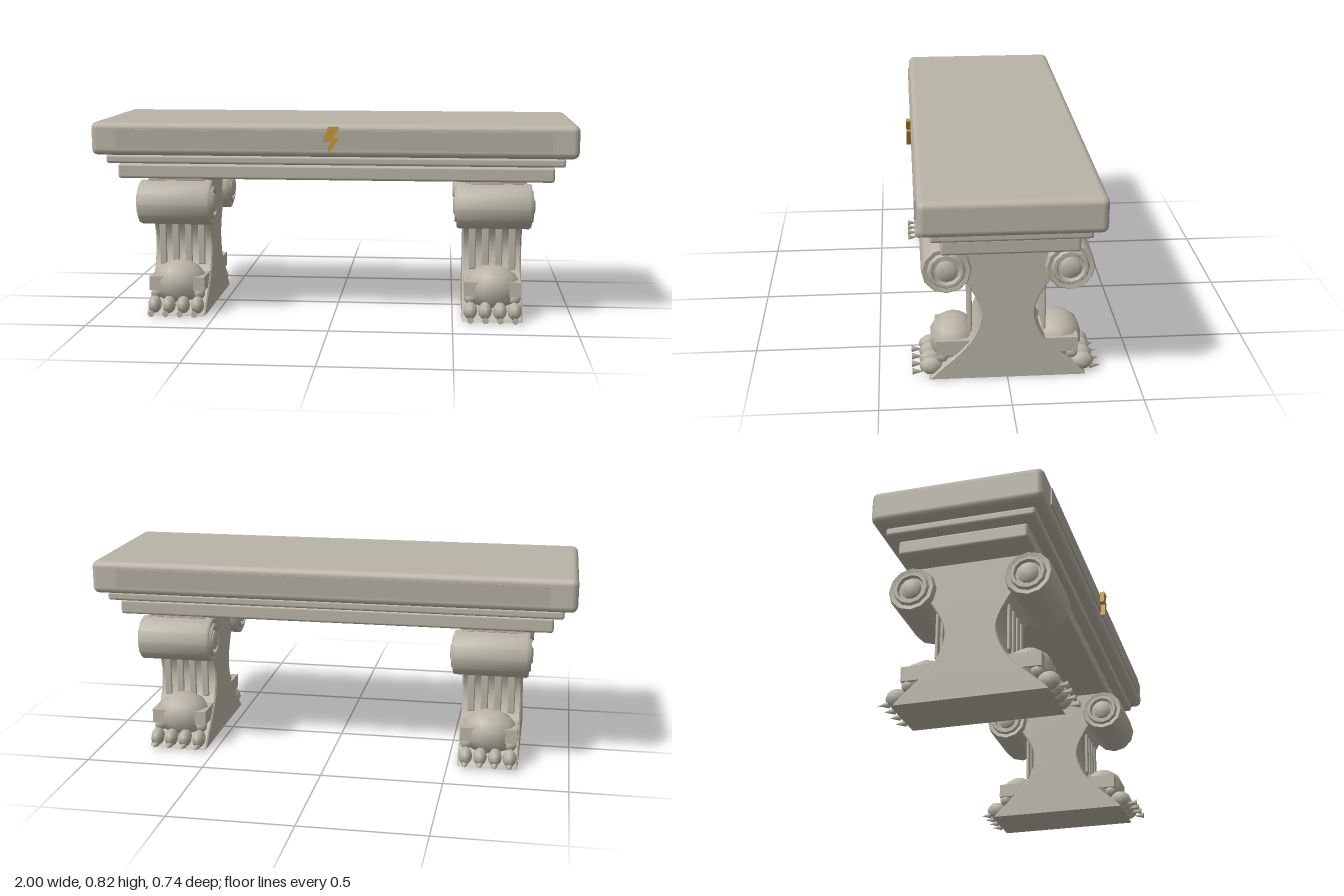
import * as THREE from 'three';
import { toCreasedNormals } from 'three/addons/utils/BufferGeometryUtils.js';
import { RoundedBoxGeometry } from 'three/addons/geometries/RoundedBoxGeometry.js';

const stone = new THREE.MeshStandardMaterial({ color: 0xb8b3a5 });
stone.name = 'stone';
const panelStone = new THREE.MeshStandardMaterial({ color: 0xb0aaa0 });
panelStone.name = 'panel stone';
const gold = new THREE.MeshStandardMaterial({ color: 0xc4943a });
gold.name = 'gold';

function add(parent, name, geometry, material, x = 0, y = 0, z = 0) {
  const mesh = new THREE.Mesh(geometry, material);
  mesh.name = name;
  mesh.position.set(x, y, z);
  parent.add(mesh);
  return mesh;
}

const v2 = (points) => points.map(([x, y]) => new THREE.Vector2(x, y));

// Pedestal: waisted side outline in z/y, extruded along x
function pedestalGeometry() {
  const side = new THREE.SplineCurve(v2([
    [0.3, 0.006], [0.245, 0.058], [0.19, 0.108], [0.13, 0.18], [0.1, 0.265],
    [0.108, 0.33], [0.145, 0.4], [0.19, 0.47], [0.24, 0.57],
  ])).getPoints(24);
  const mirrored = side.map((p) => new THREE.Vector2(-p.x, p.y)).reverse();
  const geometry = new THREE.ExtrudeGeometry(new THREE.Shape([...side, ...mirrored]), {
    depth: 0.238, bevelEnabled: true, bevelSize: 0.005, bevelThickness: 0.006, bevelSegments: 1,
  });
  geometry.translate(0, 0, -0.119);
  geometry.rotateY(-Math.PI / 2);
  return toCreasedNormals(geometry, 0.6);
}

// Scroll: one turned profile with a raised ring and a central boss at each end
function scrollGeometry() {
  const end = [
    [0, 0.168], [0.028, 0.168], [0.041, 0.16], [0.041, 0.148], [0.05, 0.148],
    [0.056, 0.161], [0.066, 0.161], [0.073, 0.15], [0.09, 0.153], [0.095, 0.145],
  ];
  const profile = [...end.map(([r, a]) => [r, -a]), ...end.slice().reverse()];
  const geometry = new THREE.LatheGeometry(v2(profile), 12);
  geometry.rotateZ(Math.PI / 2);
  return toCreasedNormals(geometry, 0.65);
}

const pedestal = pedestalGeometry();
const scroll = scrollGeometry();
const flute = new RoundedBoxGeometry(0.03, 0.195, 0.013, 1, 0.005);
const pawPad = new THREE.SphereGeometry(1, 10, 7).scale(0.12, 0.097, 0.098);
const pawBlock = new THREE.BoxGeometry(0.236, 0.06, 0.13);
const toe = new THREE.SphereGeometry(1, 8, 6).scale(0.029, 0.037, 0.046);
const knuckle = new THREE.SphereGeometry(0.026, 6, 5);
const claw = new THREE.ConeGeometry(0.014, 0.045, 8).rotateX(-Math.PI / 2);

// Everything on one face of a leg; s is +1 at the front and -1 at the back
function addLegFace(leg, s) {
  add(leg, 'scroll', scroll, stone, 0, 0.48, s * 0.234);
  add(leg, 'pawPad', pawPad, stone, 0, 0.13, s * 0.204);
  add(leg, 'pawBlock', pawBlock, stone, 0, 0.135, s * 0.21);
  for (let i = 0; i < 4; i++) {
    const k = i - 1.5;
    add(leg, 'flute', flute, stone, k * 0.056, 0.292, s * 0.143);
    add(leg, 'toe', toe, stone, k * 0.061, 0.05, s * 0.296);
    add(leg, 'knuckle', knuckle, stone, k * 0.061, 0.092, s * 0.253);
    add(leg, 'claw', claw, stone, k * 0.061, 0.026, s * 0.348);
  }
}

export function createModel() {
  const bench = new THREE.Group();
  bench.name = 'bench';

  // Seat slab with stepped mouldings beneath
  add(bench, 'seatSlab', new RoundedBoxGeometry(2, 0.138, 0.688, 2, 0.026), stone, 0, 0.757, -0.001);
  add(bench, 'upperMoulding', new RoundedBoxGeometry(1.9, 0.036, 0.596, 2, 0.011), stone, 0, 0.668, 0);
  add(bench, 'lowerMoulding', new RoundedBoxGeometry(1.82, 0.062, 0.516, 2, 0.011), stone, 0, 0.613, 0);
  add(bench, 'mouldingCore', new THREE.BoxGeometry(1.78, 0.07, 0.48), stone, 0, 0.66, 0);

  // Long raised panels
  const panel = new THREE.BoxGeometry(1.78, 0.076, 0.008);
  for (const s of [1, -1]) add(bench, 'edgePanel', panel, panelStone, 0, 0.758, s * 0.345);

  // Gilded zigzag ornament
  const zigzag = new THREE.Shape(v2([
    [-0.012, 0.815], [-0.034, 0.755], [-0.004, 0.755], [-0.017, 0.697],
    [0.034, 0.772], [0.008, 0.772], [0.034, 0.815],
  ]));
  add(bench, 'ornament', new THREE.ExtrudeGeometry(zigzag, { depth: 0.019, bevelEnabled: false }),
    gold, 0, 0, 0.348);

  // Two pedestal legs with scrolls and paws on both faces
  for (const s of [1, -1]) {
    const leg = new THREE.Group();
    leg.name = s > 0 ? 'leftLeg' : 'rightLeg';
    leg.position.x = s * 0.665;
    add(leg, 'pedestal', pedestal, stone);
    add(leg, 'capital', new THREE.BoxGeometry(0.24, 0.014, 0.48), stone, 0, 0.58, 0);
    addLegFace(leg, 1);
    addLegFace(leg, -1);
    bench.add(leg);
  }
  return bench;
}
